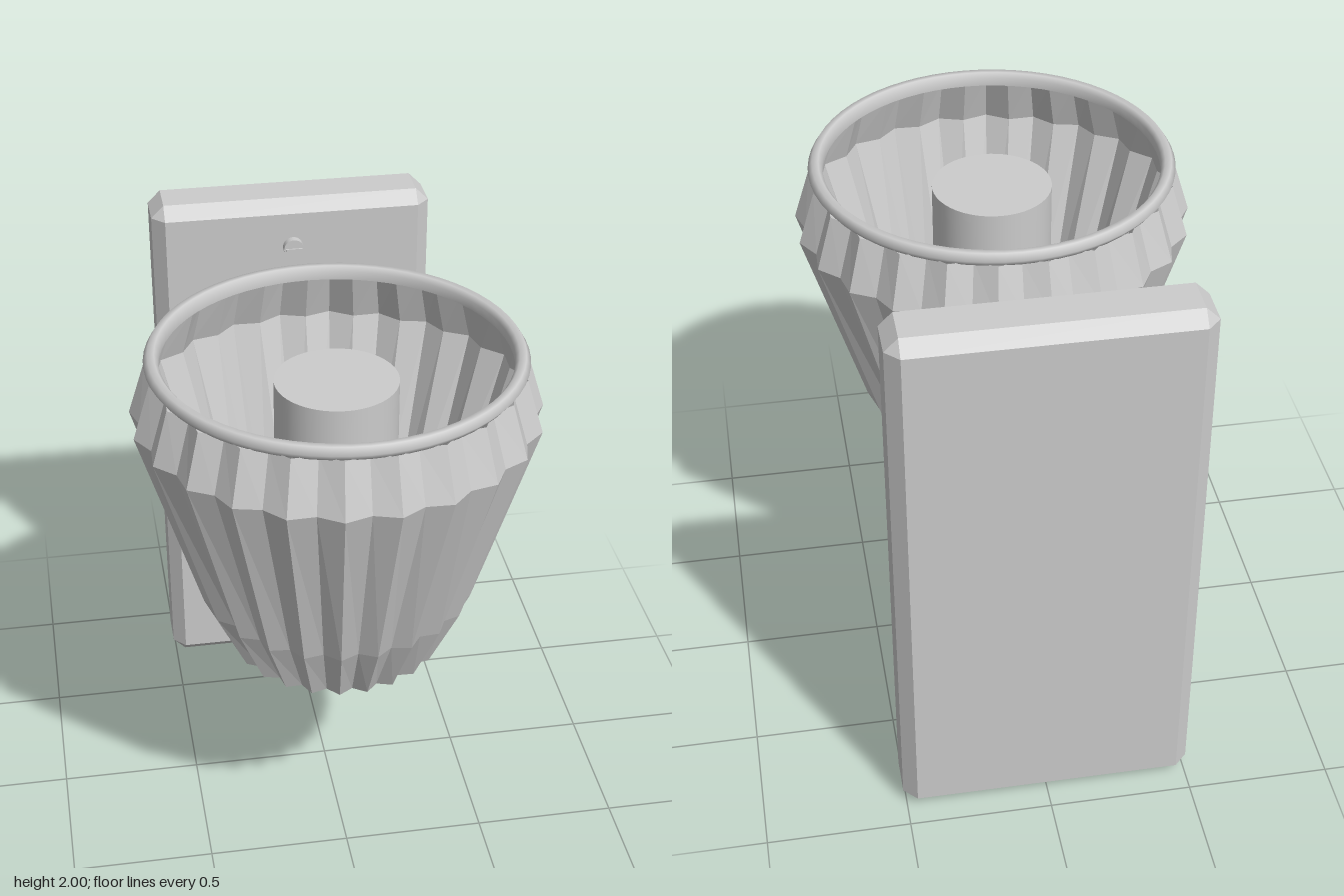
import * as THREE from 'three';
import { ConvexGeometry } from 'three/addons/geometries/ConvexGeometry.js';

const flat = new THREE.MeshStandardMaterial({ color: 0xcccccc, flatShading: true, side: THREE.DoubleSide });
const smooth = new THREE.MeshStandardMaterial({ color: 0xcccccc });
const SHADE_Z = 0.245;

function add(parent, name, geometry, material, x = 0, y = 0, z = 0) {
  const mesh = new THREE.Mesh(geometry, material);
  mesh.name = name;
  mesh.position.set(x, y, z);
  parent.add(mesh);
  return mesh;
}

// Box with every edge chamfered by c
function chamferedBox(w, h, d, c) {
  const half = [w / 2, h / 2, d / 2];
  const points = [];
  for (let axis = 0; axis < 3; axis++) {
    for (const sx of [-1, 1]) for (const sy of [-1, 1]) for (const sz of [-1, 1]) {
      const p = [sx, sy, sz].map((s, i) => s * (half[i] - (i === axis ? 0 : c)));
      points.push(new THREE.Vector3(...p));
    }
  }
  return new ConvexGeometry(points);
}

// Fluted bowl: a lathe whose alternate columns are pulled inward
function flutedShade() {
  const profile = [[0, 0.77], [0.367, 0.77], [0.475, 1.0], [0.686, 1.69], [0.628, 1.875]]
    .map(([r, y]) => new THREE.Vector2(r, y));
  const flutes = 24;
  const geometry = new THREE.LatheGeometry(profile, flutes * 2);
  const pos = geometry.attributes.position;
  for (let i = 0; i <= flutes * 2; i += 2) {
    for (let j = 1; j < profile.length; j++) {
      const k = i * profile.length + j;
      const s = 1 - 0.033 / profile[j].x;
      pos.setX(k, pos.getX(k) * s);
      pos.setZ(k, pos.getZ(k) * s);
    }
  }
  return geometry;
}

// Bent arm: ten-sided mitred sections, each [centre y, centre z, half-height y, half-height z]
function bentArm() {
  const sections = [
    [0.78, 0.243, 0, -0.088],
    [0.65, 0.243, 0.045, -0.088],
    [0.432, -0.21, 0.098, 0],
    [0.598, -0.72, 0.102, 0],
  ];
  const sides = 10, positions = [], index = [];
  sections.forEach(([y, z, hy, hz], s) => {
    for (let i = 0; i < sides; i++) {
      const a = (i / sides) * Math.PI * 2;
      const k = Math.sin(a) / Math.sin(Math.PI * 0.4);
      positions.push(0.105 * Math.cos(a), y + hy * k, z + hz * k);
      if (s === 0) continue;
      const b = s * sides + i, c = s * sides + (i + 1) % sides;
      index.push(b - sides, c - sides, b, c - sides, c, b);
    }
  });
  const geometry = new THREE.BufferGeometry();
  geometry.setAttribute('position', new THREE.Float32BufferAttribute(positions, 3));
  geometry.setIndex(index);
  geometry.computeVertexNormals();
  return geometry;
}

export function createModel() {
  const model = new THREE.Group();
  model.name = 'wallLamp';

  add(model, 'wallPlate', chamferedBox(1.02, 2, 0.228, 0.046), flat, 0, 1, -0.816);
  add(model, 'arm', bentArm(), flat);

  // Shade with its rolled rim and the inner lamp holder
  const shade = new THREE.Group();
  shade.name = 'shade';
  shade.position.z = SHADE_Z;
  model.add(shade);
  add(shade, 'flutedBowl', flutedShade(), flat);
  const rim = [[0.58, 1.87], [0.613, 1.87], [0.63, 1.893], [0.615, 1.917], [0.593, 1.917], [0.58, 1.9], [0.58, 1.87]]
    .map(([r, y]) => new THREE.Vector2(r, y));
  add(shade, 'rim', new THREE.LatheGeometry(rim, 64), new THREE.MeshStandardMaterial({ color: 0xcccccc, side: THREE.DoubleSide }));
  add(shade, 'lampHolder', new THREE.CylinderGeometry(0.208, 0.208, 1.03, 48), smooth, 0, 1.285, 0);

  // Slotted screws above and below
  for (const y of [0.18, 1.825]) {
    const screw = new THREE.Group();
    screw.name = 'screw';
    screw.position.set(0, y, -0.7);
    model.add(screw);
    add(screw, 'screwHead', new THREE.CylinderGeometry(0.037, 0.037, 0.04, 24), smooth, 0, 0, 0.006)
      .rotation.x = Math.PI / 2;
    add(screw, 'screwSlot', new THREE.BoxGeometry(0.06, 0.008, 0.012), smooth, 0, 0, 0.026);
  }
  return model;
}
